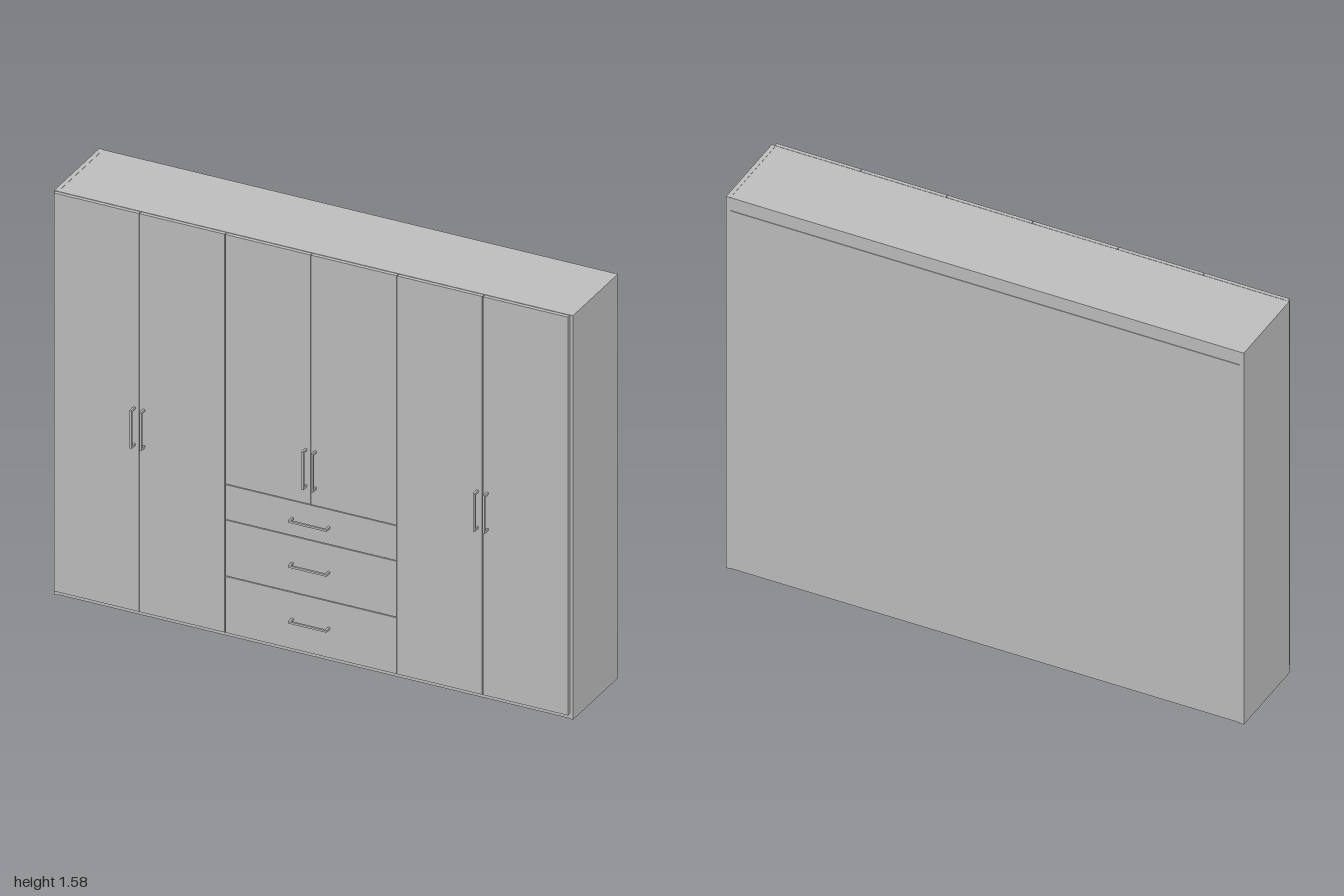
import * as THREE from 'three';

export function createModel() {
  const root = new THREE.Group();
  root.name = 'wardrobe';
  const grey = new THREE.MeshStandardMaterial({ color: 0xc0c0c0 });
  grey.name = 'light grey';

  // Box given by its limits on each axis
  const box = (name, x0, x1, y0, y1, z0, z1, parent = root) => {
    const mesh = new THREE.Mesh(new THREE.BoxGeometry(x1 - x0, y1 - y0, z1 - z0), grey);
    mesh.position.set((x0 + x1) / 2, (y0 + y1) / 2, (z0 + z1) / 2);
    mesh.name = name;
    parent.add(mesh);
    return mesh;
  };

  const H = 1.575, T = 0.016, BACK = -0.192, FRONT = 0.149;
  const IN = 1 - T;

  // Carcass
  box('rightSide', -1, -IN, 0, H, BACK, FRONT);
  box('leftSide', IN, 1, 0, H, BACK, FRONT);
  box('topPanel', -IN, IN, H - T, H - 0.001, BACK + 0.001, FRONT);
  box('bottomPanel', -IN, IN, 0.002, 0.018, BACK + 0.001, FRONT);
  box('backPanel', -IN, IN, 0.018, H - 0.057, BACK + 0.001, BACK + 0.008);
  box('backRail', -IN, IN, H - 0.055, H - T, BACK + 0.001, BACK + T);

  // Inner partitions
  const X0 = -0.995, PITCH = 0.3308, GAP = 0.0015;
  const column = (i) => X0 + i * PITCH;
  for (const i of [2, 4]) {
    box('partition', column(i) - T / 2, column(i) + T / 2, 0.018, H - T, BACK + 0.008, FRONT - 0.002);
  }
  box('drawerTop', column(2) + T / 2, column(4) - T / 2, 0.592, 0.608, BACK + 0.008, FRONT - 0.002);

  // Doors and drawer fronts
  const Z0 = 0.151, Z1 = 0.165;
  const panel = (name, a, b, y0, y1) =>
    box(name, column(a) + GAP, column(b) - GAP, y0 + GAP, y1 - GAP, Z0, Z1);
  for (let i = 0; i < 6; i++) {
    const middle = i === 2 || i === 3;
    panel(middle ? 'shortDoor' : 'tallDoor', i, i + 1, middle ? 0.6 : 0.02, H);
  }
  const levels = [0.02, 0.242, 0.462, 0.6];
  for (let i = 0; i < 3; i++) panel('drawerFront', 2, 4, levels[i], levels[i + 1]);

  // Bar handle on two posts, turned upright for doors
  const handle = (name, x, y, upright) => {
    const g = new THREE.Group();
    g.name = name;
    const h = 0.0745, r = 0.0038;
    box('bar', -h, h, -r, r, 0.0215, 0.029, g);
    for (const s of [-1, 1]) {
      const c = s * (h - r);
      box('post', c - r, c + r, -r, r, 0, 0.0215, g);
    }
    g.position.set(x, y, Z1 - 0.001);
    if (upright) g.rotation.z = Math.PI / 2;
    root.add(g);
  };
  for (const i of [1, 3, 5]) {
    for (const s of [-1, 1]) handle('doorHandle', column(i) + s * 0.0185, 0.741, true);
  }
  for (const y of [0.53, 0.355, 0.137]) handle('drawerHandle', column(3), y, false);

  return root;
}
